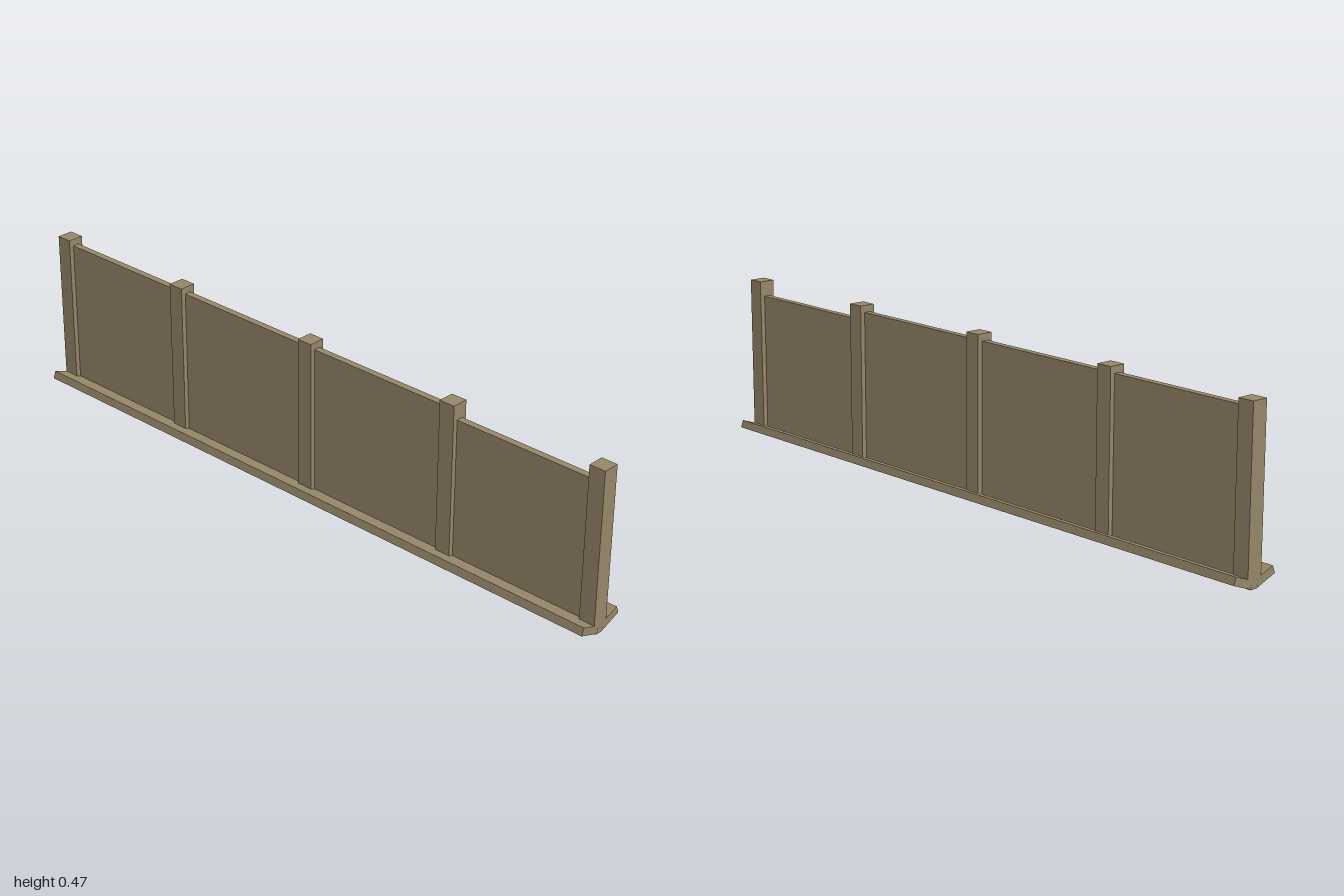
import * as THREE from 'three';

export function createModel() {
  const group = new THREE.Group();
  group.name = 'fencePanel';
  const wood = new THREE.MeshStandardMaterial({ color: 0x958669 });
  wood.name = 'weatheredWood';

  function box(name, w, y0, y1, d, x) {
    const mesh = new THREE.Mesh(new THREE.BoxGeometry(w, y1 - y0, d), wood);
    mesh.name = name;
    mesh.position.set(x, (y0 + y1) / 2, 0);
    group.add(mesh);
  }

  // Extrudes a [z, y] cross-section along the full length
  function rail(name, points) {
    const shape = new THREE.Shape(points.map(([z, y]) => new THREE.Vector2(-z, y)));
    const geo = new THREE.ExtrudeGeometry(shape, { depth: 2, bevelEnabled: false });
    geo.translate(0, 0, -1).rotateY(Math.PI / 2);
    const mesh = new THREE.Mesh(geo, wood);
    mesh.name = name;
    group.add(mesh);
  }

  // Five square posts
  const posts = [-0.976, -0.5, 0, 0.5, 0.976];
  posts.forEach((x) => box('post', 0.048, 0.024, 0.475, 0.048, x));

  // Boards between the posts; the last one is a little lower
  const tops = [0.455, 0.455, 0.455, 0.43];
  tops.forEach((top, i) => {
    const a = posts[i], b = posts[i + 1];
    box('board', b - a - 0.048, 0.02, top, 0.02, (a + b) / 2);
  });

  // Tilted base planks, mirrored front and back
  for (const s of [1, -1]) {
    rail(s > 0 ? 'frontBasePlank' : 'backBasePlank',
      [[0.013 * s, 0.002], [0.075 * s, 0.025], [0.067 * s, 0.046], [0.006 * s, 0.024]]);
  }

  // Wedge filling the gap between the planks
  rail('baseWedge', [[-0.013, 0], [0.013, 0], [0.006, 0.024], [-0.006, 0.024]]);

  return group;
}
